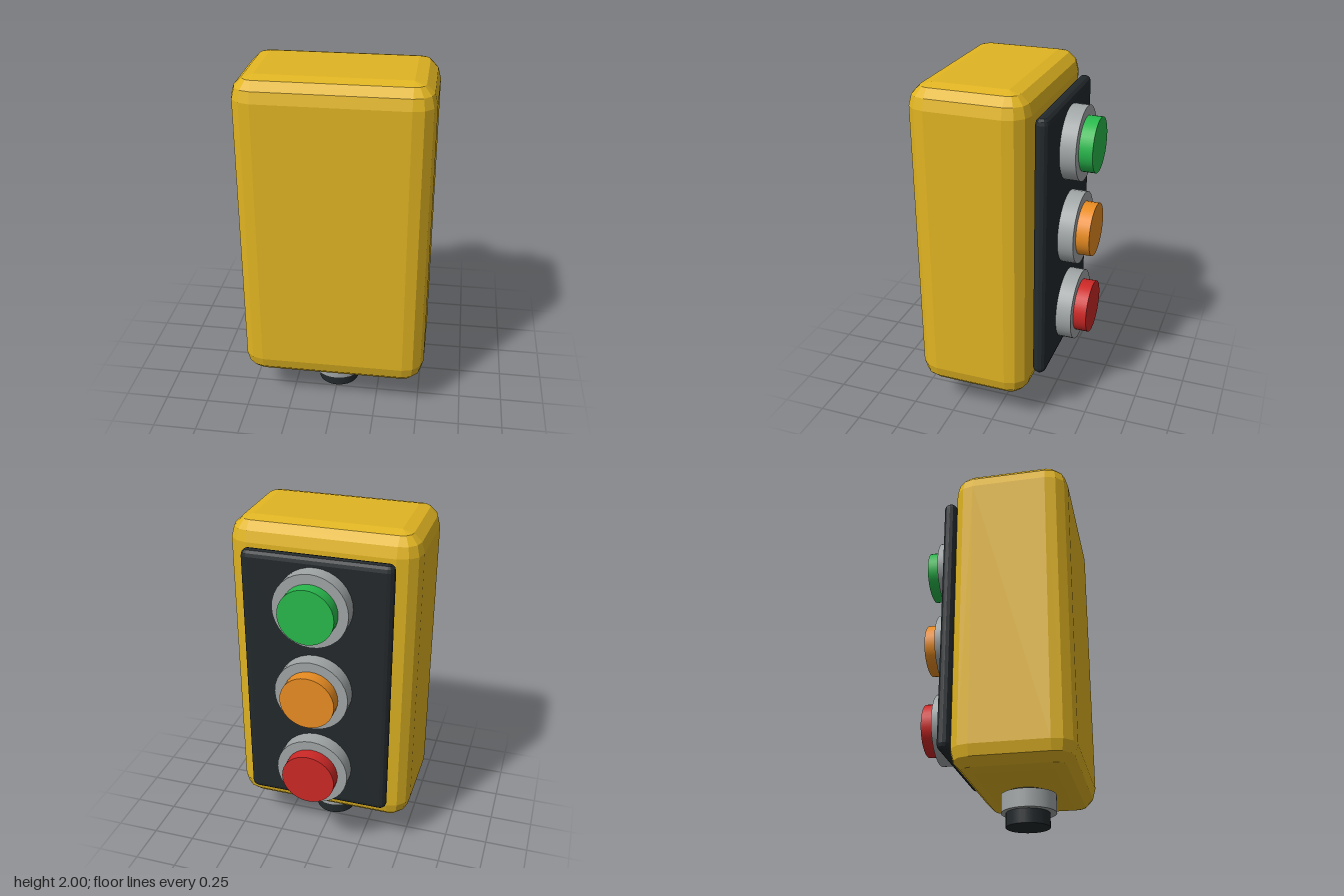
import * as THREE from 'three';
import { ConvexGeometry } from 'three/addons/geometries/ConvexGeometry.js';

const paint = (color, flatShading = false) => new THREE.MeshStandardMaterial({ color, flatShading });

// Box whose edges and corners are rounded with three flat facets per quarter turn
function facetedBox(w, h, d, r) {
  const points = [];
  for (const sx of [-1, 1]) for (const sy of [-1, 1]) for (const sz of [-1, 1])
    for (let i = 0; i <= 3; i++) {
      const a = i * Math.PI / 6;
      for (let j = 0; j <= (i === 3 ? 0 : 3); j++) {
        const b = j * Math.PI / 6;
        points.push(new THREE.Vector3(
          sx * (w / 2 - r + r * Math.cos(a) * Math.cos(b)),
          sy * (h / 2 - r + r * Math.sin(a)),
          sz * (d / 2 - r + r * Math.cos(a) * Math.sin(b))));
      }
    }
  return new ConvexGeometry(points);
}

export function createModel() {
  const model = new THREE.Group();
  model.name = 'pushButtonStation';
  const dark = 0x23292c;

  function add(name, geometry, material, x, y, z) {
    const mesh = new THREE.Mesh(geometry, material);
    mesh.name = name;
    mesh.position.set(x, y, z);
    model.add(mesh);
    return mesh;
  }

  // Yellow housing and the dark panel standing just off its back
  add('housing', facetedBox(1.054, 1.81, 0.66, 0.12), paint(0xe0b422, true), 0, 1.095, 0.122);
  add('buttonPanel', facetedBox(0.834, 1.54, 0.076, 0.037), paint(dark, true), 0, 1.1, -0.253);

  // Three buttons, each in a grey collar
  const collar = new THREE.CylinderGeometry(0.209, 0.209, 0.09, 32).rotateX(Math.PI / 2);
  const cap = new THREE.CylinderGeometry(0.154, 0.154, 0.08, 32).rotateX(Math.PI / 2);
  const grey = paint(0xa0a5a6);
  [['red', 0.59, 0xcc2826], ['orange', 1.1, 0xe88c22], ['green', 1.61, 0x28b84c]].forEach(([name, y, color]) => {
    add(name + 'ButtonCollar', collar, grey, 0, y, -0.335);
    add(name + 'Button', cap, paint(color), 0, y, -0.416);
  });

  // Cable entry below the housing
  add('cable', new THREE.CylinderGeometry(0.121, 0.121, 0.22, 32), paint(dark), 0, 0.11, 0.122);
  add('cableCollar', new THREE.CylinderGeometry(0.152, 0.152, 0.1, 32), grey, 0, 0.128, 0.127);

  return model;
}
